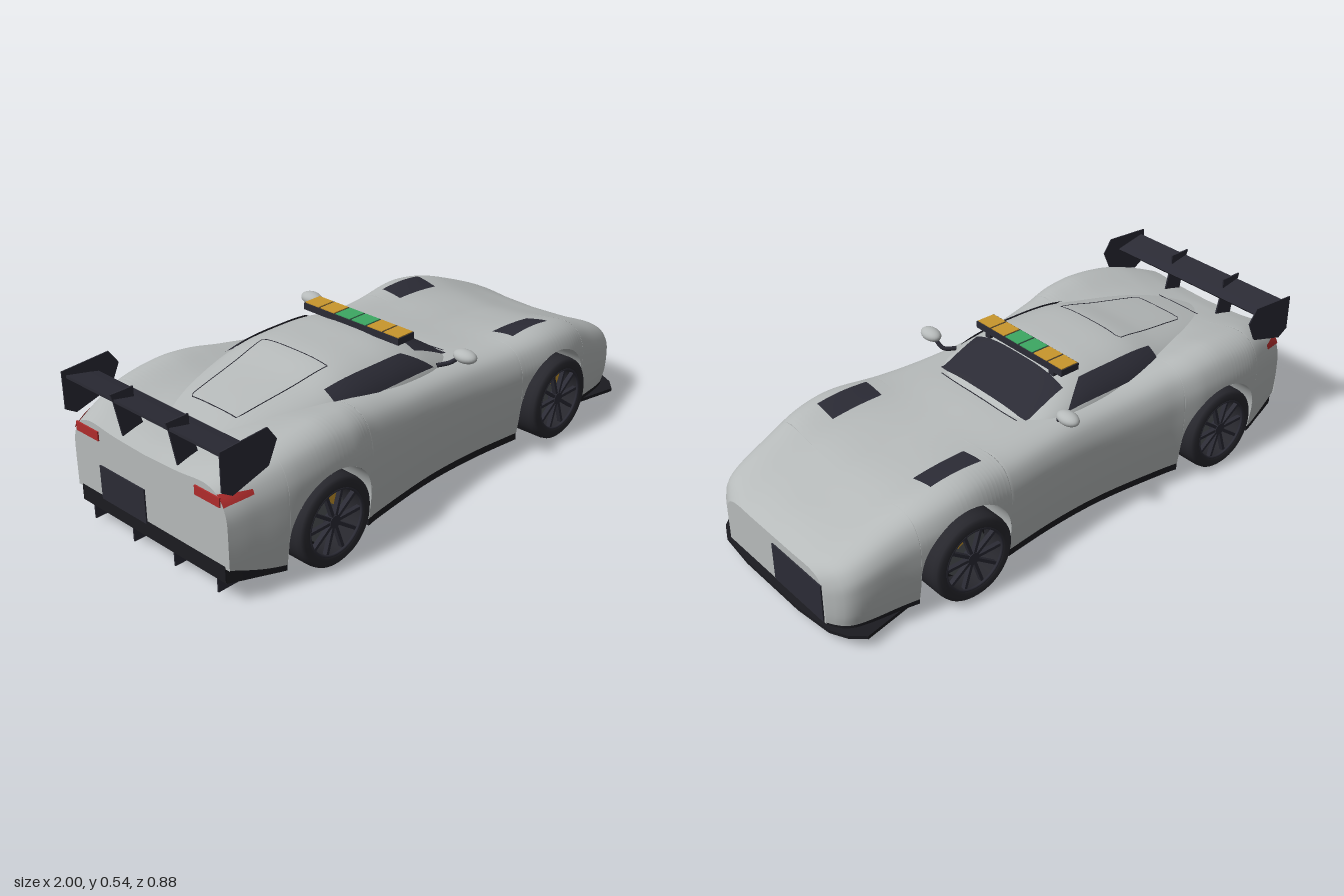
import * as THREE from 'three';

const mat = (name, color) => Object.assign(
  new THREE.MeshStandardMaterial({ color, side: THREE.DoubleSide }), { name });
const V = (x, y, z) => new THREE.Vector3(x, y, z);

// Smooth curve through [x, value] keys
const track = (keys) => (x) => {
  const n = keys.length - 1;
  let i = 0;
  while (i < n - 1 && x > keys[i + 1][0]) i++;
  const slope = (k) => {
    const a = keys[Math.max(0, k - 1)], b = keys[Math.min(n, k + 1)];
    return (b[1] - a[1]) / (b[0] - a[0]);
  };
  const [x0, y0] = keys[i], [x1, y1] = keys[i + 1], d = x1 - x0;
  const t = THREE.MathUtils.clamp((x - x0) / d, 0, 1), t2 = t * t, t3 = t2 * t;
  return y0 * (2 * t3 - 3 * t2 + 1) + y1 * (3 * t2 - 2 * t3)
    + slope(i) * d * (t3 - 2 * t2 + t) + slope(i + 1) * d * (t3 - t2);
};

// Body: half width, shoulder height, centre height, lower edge
const width = track([[-0.98, 0.365], [-0.9, 0.39], [-0.75, 0.43], [-0.52, 0.432], [-0.38, 0.405], [-0.1, 0.375],
  [0.12, 0.378], [0.35, 0.402], [0.5, 0.42], [0.62, 0.415], [0.75, 0.39], [0.9, 0.365], [0.95, 0.335], [0.98, 0.28]]);
const shoulder = track([[-0.98, 0.385], [-0.9, 0.415], [-0.8, 0.442], [-0.62, 0.462], [-0.5, 0.455], [-0.4, 0.44],
  [-0.2, 0.412], [0.1, 0.398], [0.3, 0.394], [0.5, 0.403], [0.65, 0.38], [0.8, 0.327], [0.9, 0.283], [0.95, 0.255], [0.98, 0.225]]);
const centre = track([[-0.98, 0.37], [-0.9, 0.388], [-0.7, 0.41], [-0.4, 0.4], [0, 0.385], [0.15, 0.392],
  [0.3, 0.38], [0.5, 0.362], [0.65, 0.342], [0.8, 0.3], [0.9, 0.268], [0.98, 0.225]]);
const sill = track([[-0.98, 0.125], [-0.85, 0.085], [-0.7, 0.07], [0.4, 0.068], [0.98, 0.05]]);
// Cabin: half width and roof height
const cabinWidth = track([[-0.95, 0.15], [-0.8, 0.19], [-0.6, 0.25], [-0.45, 0.285], [-0.3, 0.3], [-0.1, 0.3], [0.05, 0.285], [0.15, 0.24]]);
const roof = track([[-0.95, 0.37], [-0.85, 0.4], [-0.7, 0.438], [-0.5, 0.477], [-0.36, 0.508], [-0.2, 0.512],
  [-0.1, 0.507], [-0.02, 0.488], [0.08, 0.437], [0.15, 0.394]]);

const wheelX = [-0.61, 0.52], axleY = 0.153, archR = 0.18;

const profile = (x) => {
  const w = width(x), f = shoulder(x), c = centre(x);
  return new THREE.CatmullRomCurve3([[0.95, 0.045], [0.985, 0.35 * f], [1, 0.6 * f], [0.985, 0.8 * f],
    [0.91, 0.94 * f], [0.77, f], [0.42, f * 0.4 + c * 0.6], [0, c]].map(([z, y]) => V(x, y, z * w)));
};
// Parameter on a profile where test() first becomes true
const search = (curve, lo, hi, test) => {
  for (let i = 0; i < 22; i++) {
    const m = (lo + hi) / 2;
    if (test(curve.getPoint(m))) hi = m; else lo = m;
  }
  return hi;
};
const sidePoint = (x, y) => {
  const c = profile(x);
  return c.getPoint(search(c, 0, 5 / 7, (p) => p.y >= y));
};
const bodyY = (x, z) => {
  const c = profile(x);
  return c.getPoint(search(c, 3 / 7, 1, (p) => p.z <= Math.abs(z))).y;
};
const cabinPoint = (x, s) => {
  const T = roof(x), base = Math.min(0.38, T - 0.03);
  return V(x, base + (T - base) * Math.pow(Math.max(0, 1 - Math.abs(s) ** 3), 0.6), s * cabinWidth(x));
};
const topY = (x, z) => {
  const s = z / cabinWidth(x);
  const y = bodyY(x, z);
  return x > -0.95 && x < 0.15 && Math.abs(s) < 1 ? Math.max(y, cabinPoint(x, s).y) : y;
};

// Surface through rows of points
function loft(rows) {
  const n = rows[0].length, index = [];
  for (let i = 0; i < rows.length - 1; i++) for (let j = 0; j < n - 1; j++) {
    const a = i * n + j, b = a + n;
    index.push(a, b, a + 1, b, b + 1, a + 1);
  }
  const g = new THREE.BufferGeometry().setFromPoints(rows.flat());
  g.setIndex(index);
  g.computeVertexNormals();
  return g;
}
const grid = (nu, nv, fn) => loft(Array.from({ length: nu + 1 }, (_, i) =>
  Array.from({ length: nv + 1 }, (_, j) => fn(i / nu, j / nv))));
const mix = THREE.MathUtils.lerp;

export function createModel() {
  const car = new THREE.Group();
  const paint = mat('silver paint', 0xb6baba), dark = mat('dark panel', 0x2b2b35), under = mat('underbody black', 0x1b1b20),
    rubber = mat('tyre rubber', 0x27272d), steel = mat('brake steel', 0x55585c), amber = mat('amber', 0xc8962c),
    green = mat('green', 0x3ca862), red = mat('tail red', 0xb02c2c);
  const add = (name, geo, m, parent = car) => {
    const mesh = new THREE.Mesh(geo, m);
    mesh.name = name;
    parent.add(mesh);
    return mesh;
  };
  const box = (name, m, x, y, z, w, h, d, parent) => {
    const b = add(name, new THREE.BoxGeometry(w, h, d), m, parent);
    b.position.set(x, y, z);
    return b;
  };
  // Flat side-view outline given thickness across the car
  const plate = (name, pts, depth, z, m) => {
    const shape = new THREE.Shape(pts.map(([x, y]) => new THREE.Vector2(x, y)));
    add(name, new THREE.ExtrudeGeometry(shape, { depth, bevelEnabled: false }), m).position.z = z - depth / 2;
  };

  // Stations along the car, denser at the wheel arches
  const xs = [];
  for (let i = 0; i <= 120; i++) xs.push(mix(-0.98, 0.98, i / 120));
  for (const c of wheelX) {
    xs.push(c - archR - 0.0005, c + archR + 0.0005);
    for (let i = 0; i <= 28; i++) xs.push(c - (archR - 1e-5) * Math.cos(Math.PI * i / 28));
  }
  xs.sort((a, b) => a - b);
  const nearWheel = (x) => wheelX.find((c) => Math.abs(x - c) < archR);
  const lowerEdge = (x) => {
    const c = nearWheel(x);
    return c === undefined ? sill(x) : axleY + Math.sqrt(archR ** 2 - (x - c) ** 2);
  };

  // Body shell and its flat ends
  const ring = (x) => {
    const c = profile(x), y = lowerEdge(x), t0 = search(c, 0, 5 / 7, (p) => p.y >= y);
    const half = Array.from({ length: 33 }, (_, i) => c.getPoint(mix(t0, 1, i / 32)));
    return [...half, ...half.slice(0, -1).reverse().map((p) => V(p.x, p.y, -p.z))];
  };
  const rings = xs.map(ring);
  add('bodyShell', loft(rings), paint);
  const cap = (name, r, flip) => {
    const rows = [r, r.map((p) => V(p.x, r[0].y, p.z))];
    add(name, loft(flip ? rows.reverse() : rows), paint);
  };
  cap('noseFace', rings[rings.length - 1], false);
  cap('tailFace', rings[0], true);

  // Cabin and its glass
  add('cabin', grid(70, 40, (u, v) => cabinPoint(mix(-0.95, 0.15, u), Math.sin((0.5 - v) * Math.PI))), paint);
  const lift = (p, d = 0.004) => V(p.x, p.y + d, p.z);
  add('windscreen', grid(16, 24, (u, v) => {
    const x = mix(-0.03, 0.132, u), z = mix(0.225, -0.225, v);
    return V(x, topY(x, z) + 0.004, z);
  }), dark);
  for (const k of [1, -1]) {
    add('sideWindow', grid(20, 10, (u, v) => {
      const s = mix(0.96, 0.74, v), p = lift(cabinPoint(mix(-0.44, mix(0, -0.1, v), u), s * k), 0.005);
      p.z += 0.003 * k;
      return p;
    }), dark);
    add('bonnetVent', grid(12, 8, (u, v) => {
      const x = mix(0.39, 0.59, u), z = k * mix(0.31, 0.22, v);
      return V(x, bodyY(x, z) + 0.004, z);
    }), dark);
    // Tail lights wrap round the rear corner
    add('tailLightSide', grid(6, 3, (u, v) => {
      const p = sidePoint(mix(-0.982, -0.89, u), mix(mix(0.335, 0.355, u), 0.37, v));
      return V(p.x, p.y, k * (p.z + 0.004));
    }), red);
    box('tailLight', red, -0.982, 0.348, k * 0.285, 0.006, 0.032, 0.11);
    // Mirrors
    const mirror = add('mirror', new THREE.SphereGeometry(1, 24, 16), paint);
    mirror.scale.set(0.03, 0.023, 0.046);
    mirror.position.set(0.07, 0.452, k * 0.36);
    add('mirrorStem', new THREE.TubeGeometry(new THREE.CatmullRomCurve3(
      [V(0.02, 0.41, k * 0.28), V(0.06, 0.415, k * 0.305), V(0.07, 0.445, k * 0.34)]), 10, 0.008, 8), dark);
    // Wing end plates and supports
    plate('wingEndPlate', [[-1, 0.4], [-0.96, 0.375], [-0.82, 0.415], [-0.785, 0.49], [-0.82, 0.54], [-1, 0.53]], 0.004, k * 0.37, dark);
    plate('wingSupport', [[-0.96, 0.37], [-0.88, 0.38], [-0.91, 0.5], [-0.91, 0.532], [-0.995, 0.532], [-0.985, 0.5]], 0.006, k * 0.13, dark);
    box('lightBarFoot', dark, -0.045, 0.497, k * 0.165, 0.03, 0.025, 0.024);
  }

  // Panel gaps
  const seam = (name, pts) => {
    const path = new THREE.CurvePath();
    const p = pts.map(([x, z]) => {
      return V(x, topY(x, z), z);
    });
    for (let i = 0; i < p.length - 1; i++) {
      const [a, b] = [pts[i], pts[i + 1]];
      const line = Array.from({ length: 9 }, (_, j) => {
        const x = mix(a[0], b[0], j / 8), z = mix(a[1], b[1], j / 8);
        return V(x, topY(x, z), z);
      });
      path.add(new THREE.CatmullRomCurve3(line));
    }
    add(name, new THREE.TubeGeometry(path, 48, 0.0018, 5), dark);
  };
  seam('hatchGap', [[-0.36, 0.15], [-0.71, 0.11], [-0.71, -0.11], [-0.36, -0.15], [-0.36, 0.15]]);
  seam('deckGap', [[-0.82, 0.1], [-0.82, -0.1]]);
  seam('windscreenGap', [[0.149, 0.2], [0.149, -0.2]]);

  // Nose and tail dark panels
  box('noseGrille', dark, 0.982, 0.125, -0.136, 0.006, 0.14, 0.272);
  box('tailPanel', dark, -0.982, 0.185, -0.125, 0.006, 0.12, 0.22);

  // Floor with wheel cut-outs
  const floorRing = (x) => {
    const h = nearWheel(x) === undefined ? width(x) * 0.955 : 0.255;
    const lo = x < -0.7 ? mix(0.045, 0.075, (-0.7 - x) / 0.28) : 0.042, hi = sill(x) + 0.008;
    return [V(x, lo, -h), V(x, lo, h), V(x, hi, h), V(x, hi, -h), V(x, lo, -h)];
  };
  const floorRings = xs.map(floorRing);
  const floor = loft(floorRings).toNonIndexed();
  floor.computeVertexNormals();
  add('floor', floor, under);
  box('floorRearEdge', under, -0.978, 0.104, 0, 0.006, 0.058, 0.69);

  // Front splitter
  const half = [[0.72, 0.36], [0.91, 0.4], [0.955, 0.36], [0.985, 0.3], [1, 0.15]];
  const outline = [...half, ...half.map(([x, z]) => [x, -z]).reverse()];
  const splitter = new THREE.ExtrudeGeometry(new THREE.Shape(outline.map(([x, z]) => new THREE.Vector2(x, z))),
    { depth: 0.012, bevelEnabled: false });
  splitter.rotateX(Math.PI / 2);
  add('splitter', splitter, under).position.y = 0.042;

  // Diffuser fins and rear wing
  for (const z of [-0.3, -0.1, 0.1, 0.3])
    plate('diffuserFin', [[-0.975, 0.09], [-0.975, 0.02], [-0.72, 0.02], [-0.82, 0.065]], 0.005, z, dark);
  plate('rearWing', [[-0.985, 0.513], [-0.985, 0.503], [-0.92, 0.482], [-0.87, 0.478], [-0.863, 0.486], [-0.9, 0.495]], 0.74, 0, dark);

  // Roof light bar
  box('lightBar', dark, -0.065, 0.516, 0, 0.078, 0.024, 0.44);
  [amber, amber, green, green, amber, amber].forEach((m, i) =>
    box('lightCell', m, -0.065, 0.528, (i - 2.5) * 0.0735, 0.07, 0.006, 0.066));

  // Wheels and arches
  const tyre = new THREE.LatheGeometry([[0.112, 0.07], [0.12, 0.075], [0.14, 0.075], [0.15, 0.066], [0.153, 0.05],
    [0.153, -0.05], [0.15, -0.066], [0.14, -0.075], [0.11, -0.075], [0.112, 0.07]]
    .map(([r, y]) => new THREE.Vector2(r, y)), 48).rotateX(Math.PI / 2);
  const disc = (r, d) => new THREE.CylinderGeometry(r, r, d, 32).rotateX(Math.PI / 2);
  for (const x of wheelX) for (const k of [1, -1]) {
    const wheel = new THREE.Group();
    wheel.name = 'wheel';
    wheel.position.set(x, axleY, k * 0.364);
    if (k < 0) wheel.scale.z = -1;
    car.add(wheel);
    add('tyre', tyre, rubber, wheel);
    add('rimBack', disc(0.112, 0.02), under, wheel).position.z = -0.03;
    add('brakeDisc', disc(0.085, 0.012), steel, wheel).position.z = 0.01;
    add('rimLip', new THREE.TorusGeometry(0.112, 0.005, 8, 40), dark, wheel).position.z = 0.068;
    add('hub', disc(0.022, 0.03), dark, wheel).position.z = 0.05;
    const caliper = add('caliper', new THREE.RingGeometry(0.045, 0.09, 12, 1, 0.8, 0.8), amber, wheel);
    caliper.position.z = 0.026;
    for (let i = 0; i < 10; i++) {
      const spoke = new THREE.Group();
      spoke.rotation.z = i * Math.PI / 5;
      wheel.add(spoke);
      box('spoke', dark, 0.063, 0, 0.055, 0.1, 0.011, 0.016, spoke);
    }
    // Arch lining follows the body side
    const lining = Array.from({ length: 41 }, (_, i) => {
      const a = Math.PI * (i / 40), px = x + archR * Math.cos(a), py = axleY + archR * Math.sin(a);
      return [V(px, py, k * 0.25), V(px, py, k * sidePoint(px, py).z)];
    });
    for (const i of [0, lining.length - 1]) {
      const px = lining[i][0].x, py = sill(px);
      const foot = [V(px, py, k * 0.25), V(px, py, k * sidePoint(px, py).z)];
      if (i) lining.push(foot); else lining.unshift(foot);
    }
    add('archLining', loft(lining), paint);
    add('archWall', new THREE.CircleGeometry(archR, 32, 0, Math.PI), under).position.set(x, axleY, k * 0.252);
    box('archWallLower', under, x, 0.112, k * 0.252, archR * 2, 0.084, 0.004);
  }
  return car;
}
